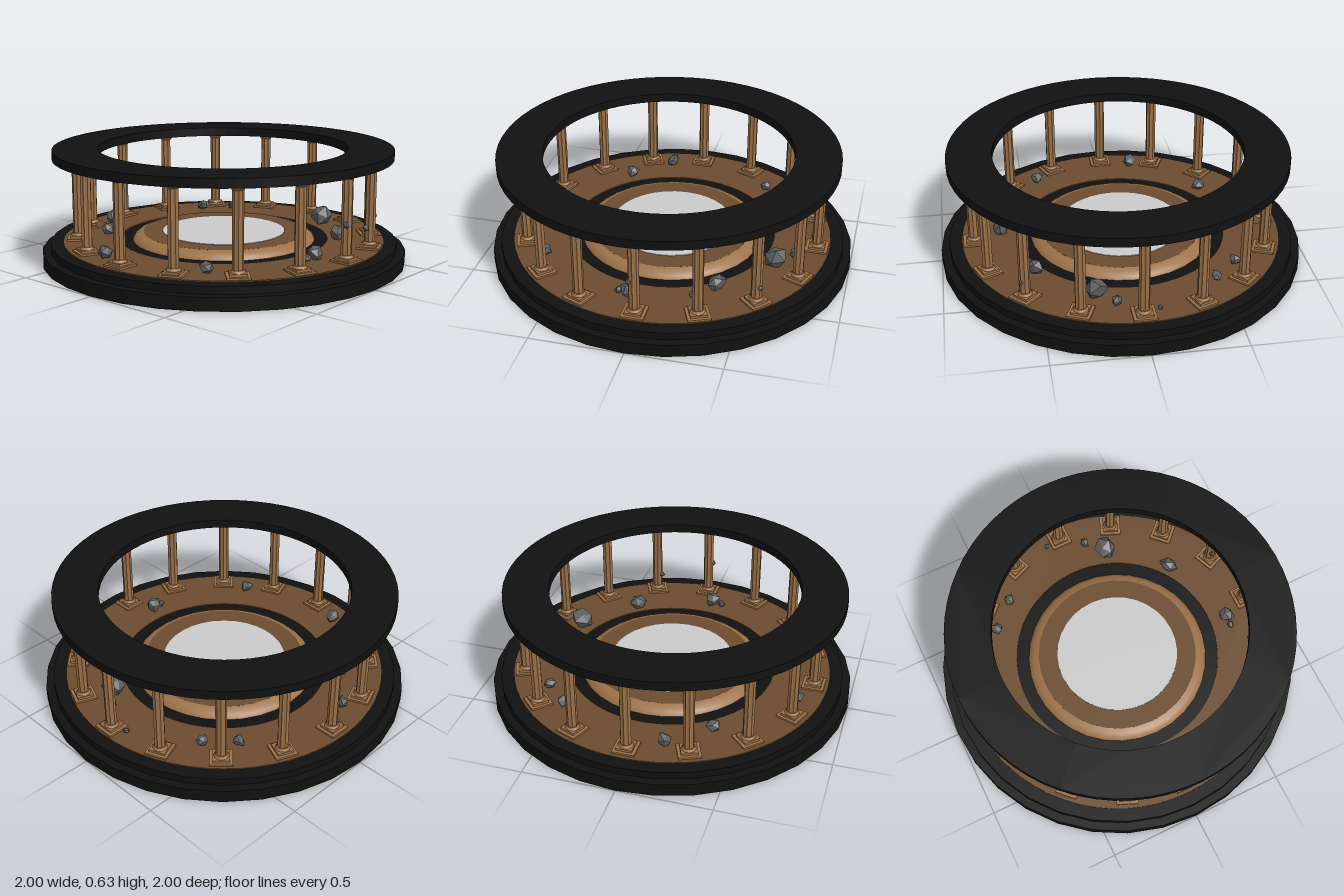
import * as THREE from 'three';

const mat = (color, opts = {}) => new THREE.MeshStandardMaterial({ color, ...opts });
const black = mat(0x111111);
const brown = mat(0x6b4c2f);
const bronze = mat(0x9c7248);
const bronzeFlat = mat(0x9c7248, { flatShading: true });
const stone = mat(0x5c5e60, { flatShading: true });
const grey = mat(0xcccccc);

function add(parent, name, geometry, material, x = 0, y = 0, z = 0) {
  const mesh = new THREE.Mesh(geometry, material);
  mesh.name = name;
  mesh.position.set(x, y, z);
  parent.add(mesh);
  return mesh;
}

// Upright drum from height y0 to y1
function drum(parent, name, rTop, rBottom, y0, y1, material) {
  const g = new THREE.CylinderGeometry(rTop, rBottom, y1 - y0, 32);
  return add(parent, name, g, material, 0, (y0 + y1) / 2, 0);
}

// Flat ring with thickness, lying on y = 0
function ringSlab(inner, outer, height) {
  const shape = new THREE.Shape().absarc(0, 0, outer, 0, Math.PI * 2);
  shape.holes.push(new THREE.Path().absarc(0, 0, inner, 0, Math.PI * 2, true));
  const g = new THREE.ExtrudeGeometry(shape, { depth: height, bevelEnabled: false, curveSegments: 32 });
  return g.rotateX(-Math.PI / 2);
}

// Fluted shaft: star-shaped section pulled upward
function flutedShaft(radius, depth, flutes, height) {
  const pts = [];
  for (let i = 0; i < flutes * 2; i++) {
    const a = (i / (flutes * 2)) * Math.PI * 2;
    const r = radius - (i % 2) * depth;
    pts.push(new THREE.Vector2(r * Math.cos(a), r * Math.sin(a)));
  }
  const g = new THREE.ExtrudeGeometry(new THREE.Shape(pts), { depth: height, bevelEnabled: false });
  return g.rotateX(-Math.PI / 2);
}

// Irregular rock: icosahedron with corners moved by a position rule
function rockGeometry(seed) {
  const g = new THREE.IcosahedronGeometry(1, 0);
  const p = g.attributes.position;
  const v = new THREE.Vector3();
  for (let i = 0; i < p.count; i++) {
    v.fromBufferAttribute(p, i);
    const k = 0.95 + 0.17 * Math.sin(v.x * 5.1 + v.y * 3.7 + v.z * 4.3 + seed * 2.1);
    p.setXYZ(i, v.x * k, v.y * k * 0.85, v.z * k);
  }
  g.computeVertexNormals();
  return g;
}

export function createModel() {
  const model = new THREE.Group();
  model.name = 'colonnade';

  // Stepped base and floor
  drum(model, 'lowerStep', 1, 1, 0, 0.07, black);
  drum(model, 'upperStep', 0.955, 0.955, 0.07, 0.11, black);
  add(model, 'floorRing', ringSlab(0.574, 0.885, 0.006), brown, 0, 0.11, 0);

  // Central dais: sloping rim, flat top, pale disc
  const rim = [[0.505, 0.11], [0.495, 0.127], [0.475, 0.143], [0.445, 0.152]]
    .map(([r, y]) => new THREE.Vector2(r, y));
  add(model, 'daisRim', new THREE.LatheGeometry(rim, 32), bronze);
  drum(model, 'daisTop', 0.446, 0.446, 0.12, 0.152, brown);
  drum(model, 'daisDisc', 0.34, 0.34, 0.13, 0.155, grey);

  // Ring of columns
  const shaft = flutedShaft(0.029, 0.005, 8, 0.42);
  const plinth = new THREE.BoxGeometry(0.12, 0.012, 0.12);
  const plinthTop = new THREE.BoxGeometry(0.088, 0.014, 0.088);
  const foot = new THREE.CylinderGeometry(0.031, 0.04, 0.014, 12);
  const capital = new THREE.CylinderGeometry(0.048, 0.03, 0.022, 12);
  const abacus = new THREE.CylinderGeometry(0.051, 0.051, 0.012, 12);
  const columns = new THREE.Group();
  columns.name = 'columns';
  columns.position.set(0.005, 0, 0.007);
  model.add(columns);
  for (let i = 0; i < 16; i++) {
    const a = (i / 16) * Math.PI * 2;
    const column = new THREE.Group();
    column.name = 'column';
    column.position.set(0.81 * Math.sin(a), 0, 0.81 * Math.cos(a));
    column.rotation.y = a;
    add(column, 'plinth', plinth, bronze, 0, 0.12, 0);
    add(column, 'plinthTop', plinthTop, bronze, 0, 0.132, 0);
    add(column, 'foot', foot, bronze, 0, 0.145, 0);
    add(column, 'shaft', shaft, bronzeFlat, 0, 0.138, 0);
    add(column, 'capital', capital, bronze, 0, 0.557, 0);
    add(column, 'abacus', abacus, bronze, 0, 0.573, 0);
    columns.add(column);
  }

  // Upper ring resting on the columns, slightly off centre
  add(model, 'topRing', ringSlab(0.68, 0.927, 0.049), black, -0.016, 0.578, 0.01);

  // Fallen rocks and small floating fragments: x, y, z, radius
  const rocks = [
    [-0.38, 0.145, -0.53, 0.042], [0.62, 0.16, 0.22, 0.065], [0.36, 0.15, 0.51, 0.055],
    [-0.06, 0.148, 0.67, 0.05], [-0.12, 0.13, 0.665, 0.022], [-0.17, 0.145, -0.72, 0.046],
    [-0.61, 0.145, 0.42, 0.04], [-0.74, 0.145, -0.17, 0.042], [0.57, 0.14, -0.42, 0.036],
    [0.44, 0.14, -0.55, 0.035], [0.71, 0.14, 0.13, 0.03], [0.79, 0.13, -0.08, 0.018],
    [-0.02, 0.31, 0.83, 0.02], [0.285, 0.228, 0.75, 0.018], [0.6, 0.218, 0.6, 0.018],
  ];
  rocks.forEach(([x, y, z, r], i) => {
    const rock = add(model, y > 0.2 ? 'floatingFragment' : 'rock', rockGeometry(i), stone, x, y, z);
    rock.scale.setScalar(r);
    rock.rotation.set(i * 0.7, i * 1.3, i * 0.4);
  });

  return model;
}
